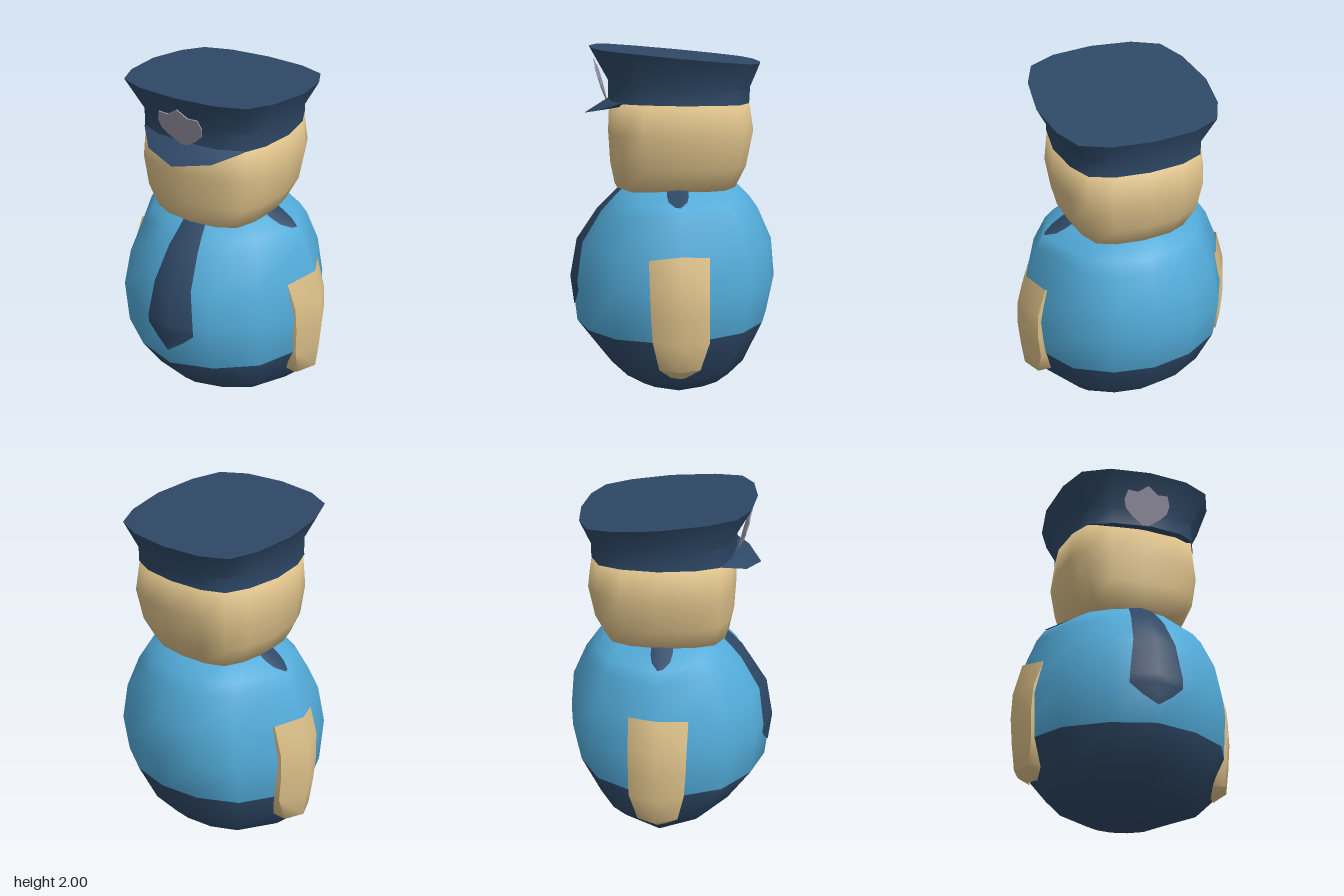
import * as THREE from 'three';
import { toCreasedNormals } from 'three/addons/utils/BufferGeometryUtils.js';

const material = (name, color, side = THREE.FrontSide) => {
  const m = new THREE.MeshStandardMaterial({ color, side });
  m.name = name;
  return m;
};

// Unit cross-sections, quarter by quarter: [x, z] from the middle out to the side
const bodyFront = [[0, 1], [0.39, 0.87], [0.73, 0.6], [1, 0]];
const bodyBack = [[0, 1], [0.37, 0.92], [0.7, 0.68]];
const squareFront = [[0, 1], [0.48, 0.95], [0.79, 0.81], [0.93, 0.5], [1, 0]];
const squareBack = squareFront.slice(0, -1);

// Body rings: [y, half width, front z, back z, tilt along z]
const bodyRings = [
  [0.045, 0.24, 0.2, -0.24], [0.115, 0.43, 0.31, -0.34], [0.21, 0.53, 0.41, -0.43],
  [0.425, 0.622, 0.56, -0.545, -0.04], [0.67, 0.638, 0.59, -0.59], [0.89, 0.59, 0.55, -0.57],
  [1.07, 0.52, 0.43, -0.49], [1.14, 0.475, 0.36, -0.44], [1.23, 0.31, 0.27, -0.35],
];
const BODY_Z = -0.03;
const HEAD_Z = -0.035;

function geometryFrom(points, index) {
  const g = new THREE.BufferGeometry();
  g.setAttribute('position', new THREE.Float32BufferAttribute(points.flat(), 3));
  g.setIndex(index);
  g.computeVertexNormals();
  return g;
}

// Skin a stack of rings; bottom and top are optional cap heights,
// and rows from splitRow upwards use the second material.
function loft(rings, front, back, zc, { bottom, top, splitRow } = {}) {
  const right = [...front, ...back.slice(1).reverse().map(([x, z]) => [x, -z]), [0, -1]];
  const outline = [...right, ...right.slice(1, -1).reverse().map(([x, z]) => [-x, z])];
  const n = outline.length;
  const points = [];
  for (const [y, rx, zf, zb, tilt = 0] of rings) {
    for (const [ox, oz] of outline) {
      const z = zc + oz * (oz > 0 ? zf - zc : zc - zb);
      points.push([ox * rx, y + tilt * z, z]);
    }
  }
  const index = [];
  let split = 0;
  if (bottom !== undefined) {
    const c = points.push([0, bottom, zc]) - 1;
    for (let j = 0; j < n; j++) index.push(c, (j + 1) % n, j);
  }
  for (let i = 0; i < rings.length - 1; i++) {
    if (i === splitRow) split = index.length;
    for (let j = 0; j < n; j++) {
      const k = (j + 1) % n;
      const a = i * n + j, b = i * n + k;
      index.push(a, b, b + n, a, b + n, a + n);
    }
  }
  if (top !== undefined) {
    const c = points.push([0, top, zc]) - 1;
    const base = (rings.length - 1) * n;
    for (let j = 0; j < n; j++) index.push(c, base + j, base + (j + 1) % n);
  }
  const g = geometryFrom(points, index);
  if (split) {
    g.addGroup(0, split, 0);
    g.addGroup(split, index.length - split, 1);
  }
  return g;
}

// Skin an open sheet of rows, top to bottom, columns left to right from outside
function sheet(rows) {
  const n = rows[0].length;
  const index = [];
  for (let i = 0; i < rows.length - 1; i++) {
    for (let j = 0; j < n - 1; j++) {
      const a = i * n + j;
      index.push(a, a + n, a + n + 1, a, a + n + 1, a + 1);
    }
  }
  return geometryFrom(rows.flat(), index);
}

// Body size at a height, and the surface points used by the painted details
function bodyAt(y) {
  let i = 0;
  while (i < bodyRings.length - 2 && bodyRings[i + 1][0] < y) i++;
  const a = bodyRings[i], b = bodyRings[i + 1];
  const t = (y - a[0]) / (b[0] - a[0]);
  return [1, 2, 3].map((k) => a[k] + (b[k] - a[k]) * t);
}
function chestZ(x, y) {
  const [rx, zf] = bodyAt(y);
  return BODY_Z + (zf - BODY_Z) * (1 - 0.13 * Math.abs(x) / (0.39 * rx));
}
function shoulderX(y, z) {
  const [rx, zf, zb] = bodyAt(y);
  const k = z > BODY_Z ? (z - BODY_Z) / (zf - BODY_Z) * 0.45 : (BODY_Z - z) / (BODY_Z - zb) * 0.44;
  return rx * (1 - k);
}

export function createModel() {
  const model = new THREE.Group();
  const navy = material('navy', 0x2e4866);
  const navyThin = navy;
  navyThin.side = THREE.DoubleSide;
  const shirt = material('shirtBlue', 0x52abd9);
  const skin = material('skin', 0xdbbf88, THREE.DoubleSide);
  const silver = material('badgeSilver', 0x9a97a8);
  const add = (name, geometry, mat) => {
    const mesh = new THREE.Mesh(geometry, mat);
    mesh.name = name;
    model.add(mesh);
    return mesh;
  };

  // Trousers and shirt
  add('body', loft(bodyRings, bodyFront, bodyBack, BODY_Z, { bottom: 0.003, top: 1.25, splitRow: 3 }), [navy, shirt]);

  // Tie: [y, half width]
  const tieRows = [[1.2, 0.07], [1.14, 0.08], [1.07, 0.095], [0.89, 0.12], [0.67, 0.15], [0.62, 0.15], [0.56, 0.085], [0.5, 0.002]];
  add('tie', sheet(tieRows.map(([y, w]) => [-w, 0, w].map((x) => [x, y, chestZ(x, y) + 0.008]))), navyThin);

  // Arms: [y, ridge x, front z, back z, drop of the edges]
  const armRows = [
    [0.905, 0.597, 0.14, -0.19, 0.035], [0.72, 0.646, 0.135, -0.19, 0], [0.57, 0.652, 0.13, -0.19, 0],
    [0.42, 0.64, 0.12, -0.19, 0], [0.27, 0.622, 0.085, -0.14, 0], [0.21, 0.54, 0.02, -0.06, 0],
  ];
  const shoulderRows = [[1.228, 0.06], [1.19, 0.06], [1.165, 0.05], [1.145, 0.015]];
  for (const [s, label] of [[1, 'left'], [-1, 'right']]) {
    const facing = (row) => (s > 0 ? row : row.reverse());
    const arm = armRows.map(([y, x, zf, zb, drop]) => {
      const xf = x - 0.47 * (zf + 0.03), xb = x - 0.45 * (-0.03 - zb);
      return facing([
        [s * (xf - 0.12), y - drop, zf], [s * xf, y - drop, zf], [s * x, y, -0.03],
        [s * xb, y - drop / 2, zb], [s * (xb - 0.12), y - drop / 2, zb],
      ]);
    });
    add(label + 'Arm', toCreasedNormals(sheet(arm), 1.0), skin);

    // Shoulder tab
    const tab = shoulderRows.map(([y, w]) => facing([w - 0.02, BODY_Z, -w - 0.02]
      .map((z) => [s * (shoulderX(y, z) + 0.005), y + 0.005, z])));
    add(label + 'ShoulderTab', sheet(tab), navyThin);
  }

  // Head
  add('head', loft([
    [1.185, 0.24, 0.27, -0.29], [1.215, 0.325, 0.335, -0.365], [1.34, 0.39, 0.36, -0.425],
    [1.52, 0.42, 0.37, -0.46], [1.7, 0.4, 0.362, -0.432],
  ], squareFront, squareBack, HEAD_Z, { bottom: 1.18, top: 1.72 }), skin);

  // Cap: upright band, flared crown and tilted flat top
  const rim = [1.955, 0.485, 0.475, -0.495, 0.094];
  const cap = loft([
    [1.695, 0.402, 0.368, -0.437, 0.01], [1.79, 0.402, 0.369, -0.438, 0.05], rim,
  ], squareFront, squareBack, HEAD_Z, { top: 1.955 + 0.094 * HEAD_Z });
  add('cap', toCreasedNormals(cap, 0.8), navy);

  // Visor: [x, inner z, outer y, outer z]
  const visor = [
    [-0.32, 0.285, 1.7, 0.295], [-0.2, 0.342, 1.65, 0.43], [0, 0.368, 1.62, 0.505],
    [0.2, 0.342, 1.65, 0.43], [0.32, 0.285, 1.7, 0.295],
  ];
  add('visor', toCreasedNormals(sheet([
    visor.map(([x, zi]) => [x, 1.707, zi]),
    visor.map(([x, , y, z]) => [x, y, z]),
    visor.map(([x, zi]) => [x, 1.69, zi - 0.03]),
  ]), 0.8), navyThin);

  // Plain shield badge leaning with the crown
  const half = [[0.06, 0.205], [0.12, 0.208], [0.137, 0.15], [0.125, 0.1], [0.08, 0.055]];
  const shield = new THREE.Shape([
    [0, 0], ...half.slice().reverse(), [0, 0.25], ...half.map(([x, y]) => [-x, y]),
  ].map(([x, y]) => new THREE.Vector2(x, y)));
  const badge = add('badge', new THREE.ExtrudeGeometry(shield, { depth: 0.006, bevelEnabled: false }), silver);
  badge.position.set(0, 1.688, 0.372);
  badge.rotation.x = 0.3;

  return model;
}
